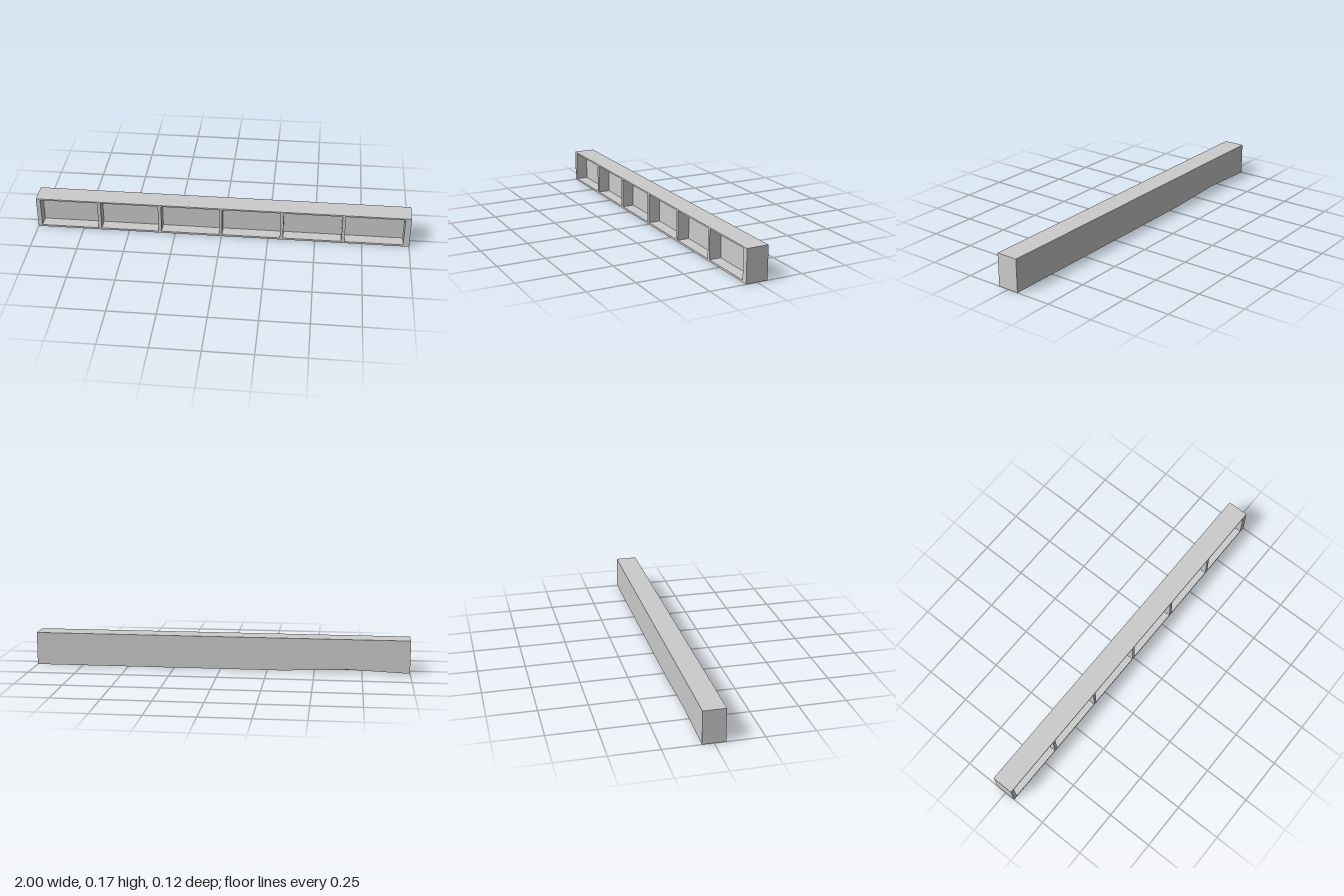
import * as THREE from 'three';

const HEIGHT = 0.175;
const FRONT = 0.058, BACK = -0.058, RECESS = -0.006;
const CELLS = 6, PITCH = 0.3272, CELL_W = 0.31, FIRST = -0.978;
const CELL_BOTTOM = 0.01, CELL_TOP = 0.167;
const DENT_X = FIRST + PITCH - (PITCH - CELL_W) / 2;
const DENT_RISE = 0.014;

// Outline of the long face, with a bottom point under every divider
function beamOutline() {
  const shape = new THREE.Shape();
  shape.moveTo(-1, 0);
  for (let i = 1; i < CELLS; i++) shape.lineTo(DENT_X + (i - 1) * PITCH, 0);
  shape.lineTo(1, 0);
  shape.lineTo(1, HEIGHT);
  shape.lineTo(-1, HEIGHT);
  shape.closePath();
  return shape;
}

function extrudeBetween(shape, z0, z1) {
  const geo = new THREE.ExtrudeGeometry(shape, { depth: z1 - z0, bevelEnabled: false });
  geo.translate(0, 0, z0);
  // Lift the underside below the first divider, growing towards the back
  const p = geo.attributes.position;
  for (let i = 0; i < p.count; i++) {
    if (p.getY(i) < 1e-5 && Math.abs(p.getX(i) - DENT_X) < 1e-4) {
      p.setY(i, DENT_RISE * (FRONT - p.getZ(i)) / (FRONT - BACK));
    }
  }
  geo.computeVertexNormals();
  return geo;
}

export function createModel() {
  const group = new THREE.Group();
  group.name = 'compartmentBeam';
  const material = new THREE.MeshStandardMaterial({ color: 0xcccccc, flatShading: true });

  // Front frame with six open compartments
  const frameShape = beamOutline();
  for (let i = 0; i < CELLS; i++) {
    const x0 = FIRST + i * PITCH, x1 = x0 + CELL_W;
    const hole = new THREE.Path();
    hole.moveTo(x0, CELL_BOTTOM);
    hole.lineTo(x0, CELL_TOP);
    hole.lineTo(x1, CELL_TOP);
    hole.lineTo(x1, CELL_BOTTOM);
    hole.closePath();
    frameShape.holes.push(hole);
  }
  const frame = new THREE.Mesh(extrudeBetween(frameShape, RECESS, FRONT), material);
  frame.name = 'compartmentFrame';
  group.add(frame);

  // Solid back closing the compartments
  const back = new THREE.Mesh(extrudeBetween(beamOutline(), BACK, RECESS), material);
  back.name = 'backWall';
  group.add(back);

  return group;
}
